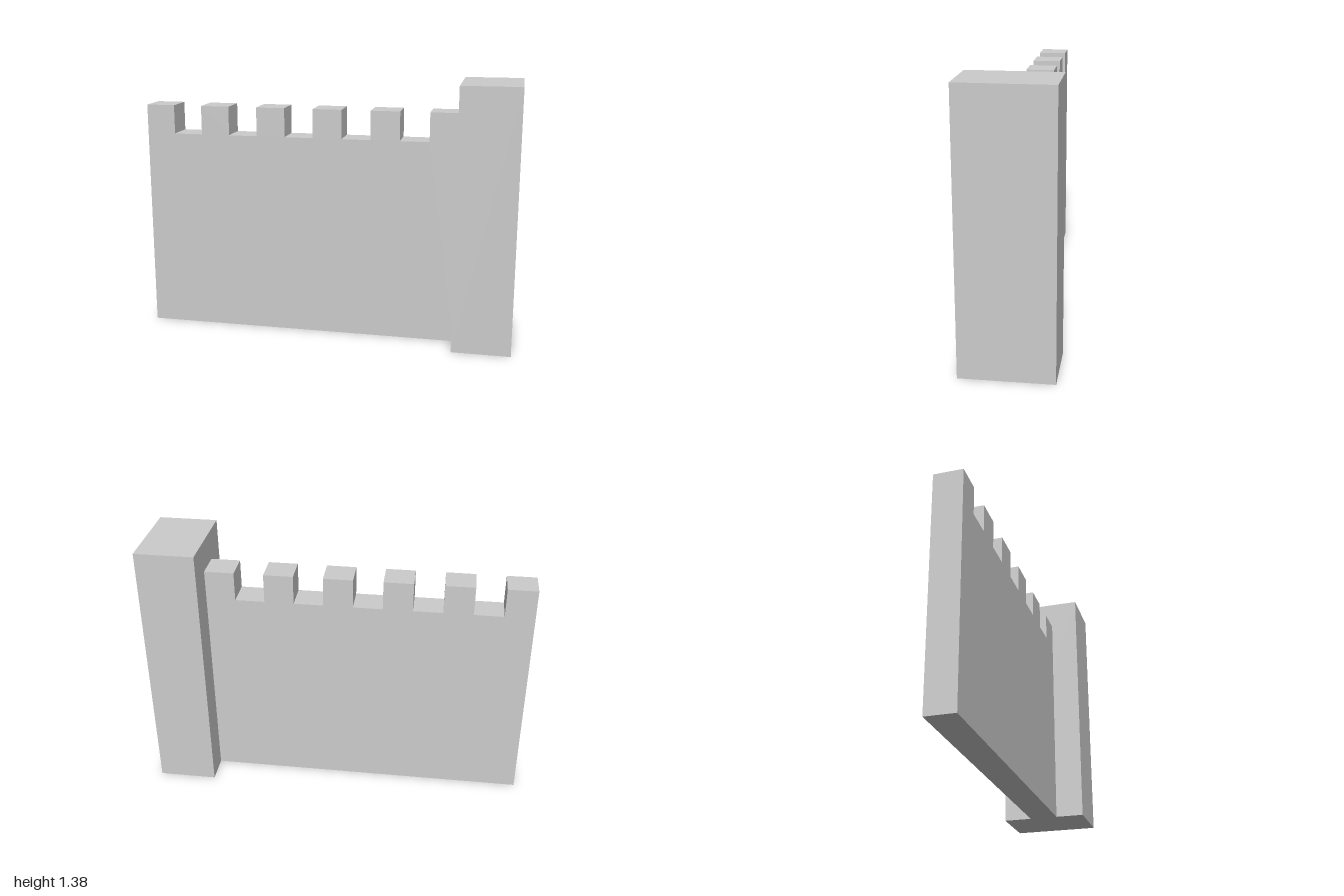
import * as THREE from 'three';

// The whole design sits on a block grid, 13 blocks long
const U = 2 / 13;
const WALL_LENGTH = 11, WALL_HEIGHT = 7;
const PILLAR_WIDTH = 2, PILLAR_HEIGHT = 9, PILLAR_DEPTH = 3;

export function createModel() {
  const model = new THREE.Group();
  model.name = 'battlementWall';
  const material = new THREE.MeshStandardMaterial({ color: 0xcccccc, flatShading: true });

  // Crenellated wall: one silhouette, alternating merlons and gaps, one block thick
  const outline = new THREE.Shape();
  outline.moveTo(-1, 0);
  outline.lineTo(-1 + WALL_LENGTH * U, 0);
  for (let i = WALL_LENGTH - 1; i >= 0; i--) {
    const top = (WALL_HEIGHT + (i % 2 === 0 ? 1 : 0)) * U;
    outline.lineTo(-1 + (i + 1) * U, top);
    outline.lineTo(-1 + i * U, top);
  }
  outline.closePath();
  const wallGeometry = new THREE.ExtrudeGeometry(outline, { depth: U, bevelEnabled: false });
  wallGeometry.translate(0, 0, -U / 2);
  const wall = new THREE.Mesh(wallGeometry, material);
  wall.name = 'crenellatedWall';
  model.add(wall);

  // Square-cut end pillar, taller and deeper than the wall
  const pillar = new THREE.Mesh(
    new THREE.BoxGeometry(PILLAR_WIDTH * U, PILLAR_HEIGHT * U, PILLAR_DEPTH * U), material);
  pillar.name = 'endPillar';
  pillar.position.set(1 - PILLAR_WIDTH * U / 2, PILLAR_HEIGHT * U / 2, 0);
  model.add(pillar);

  return model;
}
